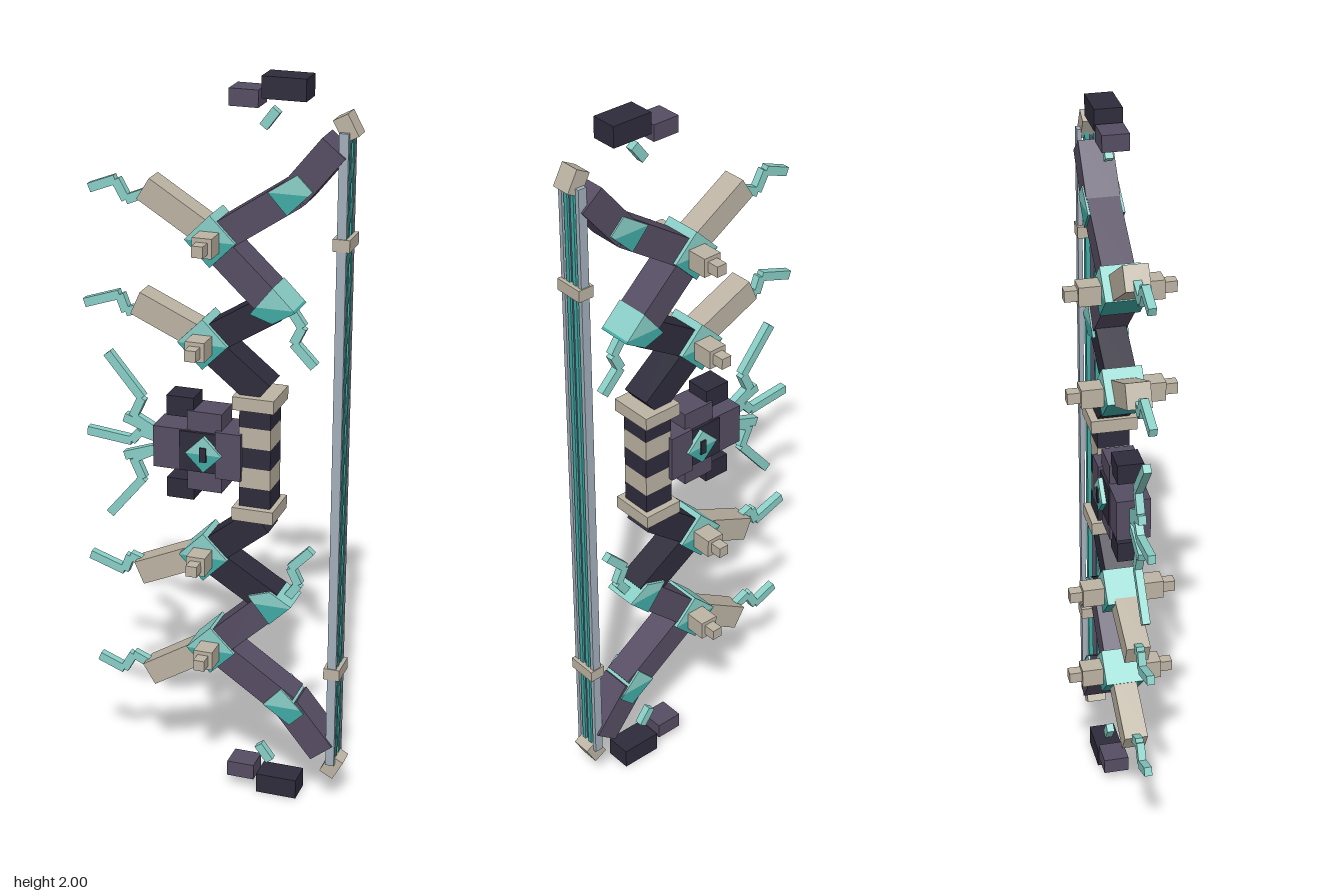
import * as THREE from 'three';

const mat = (name, color) => {
  const m = new THREE.MeshStandardMaterial({ color });
  m.name = name;
  return m;
};

export function createModel() {
  const dark = mat('dark slate', 0x2e2c3b);
  const purple = mat('dusky purple', 0x564d63);
  const cream = mat('bone', 0xbdb4a4);
  const light = mat('pale teal', 0x8ad0c8);
  const teal = mat('deep teal', 0x40aaa4);
  const cord = mat('cord grey', 0xa3b0bc);

  const bow = new THREE.Group();
  bow.name = 'bow';

  const add = (name, geometry, material, x = 0, y = 0, z = 0) => {
    const mesh = new THREE.Mesh(geometry, material);
    mesh.name = name;
    mesh.position.set(x, y, z);
    bow.add(mesh);
    return mesh;
  };
  const box = (name, m, x, y, z, w, h, d) => add(name, new THREE.BoxGeometry(w, h, d), m, x, y, z);

  // Straight beam between two points in the bow's plane
  const bar = (name, m, [ax, ay], [bx, by], width, depth) => {
    const mesh = box(name, m, (ax + bx) / 2, (ay + by) / 2, 0, Math.hypot(bx - ax, by - ay), width, depth);
    mesh.rotation.z = Math.atan2(by - ay, bx - ax);
    return mesh;
  };

  // Jagged spark made of short beams
  const spark = (name, points, m = light) => {
    for (let i = 1; i < points.length; i++) bar(name, m, points[i - 1], points[i], 0.024, 0.021);
  };

  // Half of a convex polygon above (side 1) or below (side -1) a level
  const clip = (points, level, side) => {
    const out = [];
    points.forEach((p, i) => {
      const q = points[(i + 1) % points.length];
      const dp = (p[1] - level) * side, dq = (q[1] - level) * side;
      if (dp >= 0) out.push(p);
      if (dp * dq < 0) {
        const t = dp / (dp - dq);
        out.push([p[0] + (q[0] - p[0]) * t, level]);
      }
    });
    return out;
  };

  // Two-tone crystal plate: pale above, deep below
  const crystal = (name, points, level, halfDepth) => {
    [[1, light], [-1, teal]].forEach(([side, m]) => {
      const shape = new THREE.Shape(clip(points, level, side).map(p => new THREE.Vector2(p[0], p[1])));
      const geometry = new THREE.ExtrudeGeometry(shape, { depth: halfDepth * 2, bevelEnabled: false });
      add(name, geometry, m, 0, 0, -halfDepth);
    });
  };
  const diamond = (x, y, r) => [[x - r, y], [x, y + r], [x + r, y], [x, y - r]];

  // Grip with alternating bands
  for (let i = 0; i < 5; i++) {
    box('gripBand', i % 2 ? cream : dark, 0.12, 0.888 + i * 0.056, 0, 0.085, 0.056, 0.086);
  }

  // Core block, crystal eye and slit
  box('coreConnector', purple, 0.05, 1, 0, 0.07, 0.13, 0.11);
  box('coreBody', dark, -0.02, 1, 0, 0.13, 0.11, 0.1);
  box('coreFront', purple, -0.107, 1, 0, 0.105, 0.115, 0.09);
  crystal('coreCrystal', diamond(-0.015, 1, 0.05), 1, 0.062);
  for (const z of [-1, 1]) box('coreSlit', dark, -0.015, 1, z * 0.063, 0.018, 0.04, 0.006);
  spark('middleSpark', [[-0.36, 1.003], [-0.235, 0.99], [-0.21, 1.02], [-0.15, 1.005]]);

  // Upper and lower halves
  for (const s of [1, -1]) {
    const P = (x, dy) => [x, 1 + s * dy];
    const Y = dy => 1 + s * dy;

    // Grip cap and the blocks clustered round the core
    box('gripCap', cream, 0.12, Y(0.155), 0, 0.112, 0.036, 0.124);
    box('coreBlock', purple, -0.018, Y(0.083), 0, 0.095, 0.055, 0.084);
    box('coreShard', dark, -0.088, Y(0.116), 0, 0.075, 0.055, 0.07);
    spark('coreSpark', [P(-0.3, 0.23), P(-0.205, 0.115), P(-0.23, 0.06), P(-0.155, 0.02)]);
    spark('coreSpark', [P(-0.255, 0.055), P(-0.17, 0.025)]);

    // Zigzag limb
    const path = [P(0.135, 0.175), P(-0.02, 0.3), P(0.165, 0.415), P(0, 0.57), P(0.215, 0.715), P(0.315, 0.838)];
    const colours = [dark, dark, purple, purple, purple];
    const depths = [0.084, 0.08, 0.088, 0.084, 0.088];
    colours.forEach((m, i) => bar('limbSegment', m, path[i], path[i + 1], 0.076, depths[i]));

    // Crystal elbows
    crystal('innerElbow', [P(0.105, 0.395), P(0.165, 0.47), P(0.225, 0.41), P(0.165, 0.375)], Y(0.415), 0.048);
    crystal('outerElbow', [P(0.15, 0.715), P(0.225, 0.765), P(0.265, 0.725), P(0.2, 0.66)], Y(0.715), 0.048);
    spark('elbowSpark', [P(0.19, 0.42), P(0.232, 0.36), P(0.21, 0.315), P(0.265, 0.258)]);

    // Joints: crystal diamond, studs, spur and spark
    const joints = [
      { at: [-0.02, 0.3], tip: [-0.21, 0.385], bolt: [[-0.2, 0.365], [-0.245, 0.35], [-0.262, 0.395], [-0.36, 0.362]] },
      { at: [0, 0.575], tip: [-0.185, 0.69], bolt: [[-0.18, 0.675], [-0.24, 0.65], [-0.268, 0.7], [-0.34, 0.672]] },
    ];
    for (const { at, tip, bolt } of joints) {
      const [x, y] = P(...at);
      bar('spur', cream, [x, y], P(...tip), 0.066, 0.064);
      crystal('jointCrystal', diamond(x, y, 0.068), y, 0.052);
      for (const z of [-1, 1]) {
        box('jointStud', cream, x, y, z * 0.08, 0.052, 0.052, 0.06);
        box('studPin', cream, x, y, z * 0.125, 0.03, 0.03, 0.038);
      }
      spark('spurSpark', bolt.map(p => P(...p)));
    }

    // Limb tip, string band and floating fragments
    bar('limbTip', cream, P(0.325, 0.912), P(0.354, 0.858), 0.042, 0.054);
    box('stringBand', cream, 0.338, Y(0.595), 0, 0.044, 0.032, 0.082);
    box('largeFragment', dark, 0.185, Y(0.972), 0, 0.114, 0.056, 0.072);
    box('smallFragment', purple, 0.082, Y(0.942), 0, 0.076, 0.044, 0.07);
    spark('floatingSpark', [P(0.125, 0.868), P(0.158, 0.912)]);
  }

  // Bowstring strands
  const strands = [[-0.032, cord], [-0.012, teal], [0.012, teal], [0.032, cord]];
  for (const [z, m] of strands) box('stringStrand', m, 0.338, 1, z, 0.024, 1.75, 0.012);
  box('stringCore', purple, 0.338, 1, 0, 0.014, 1.75, 0.01);

  return bow;
}
